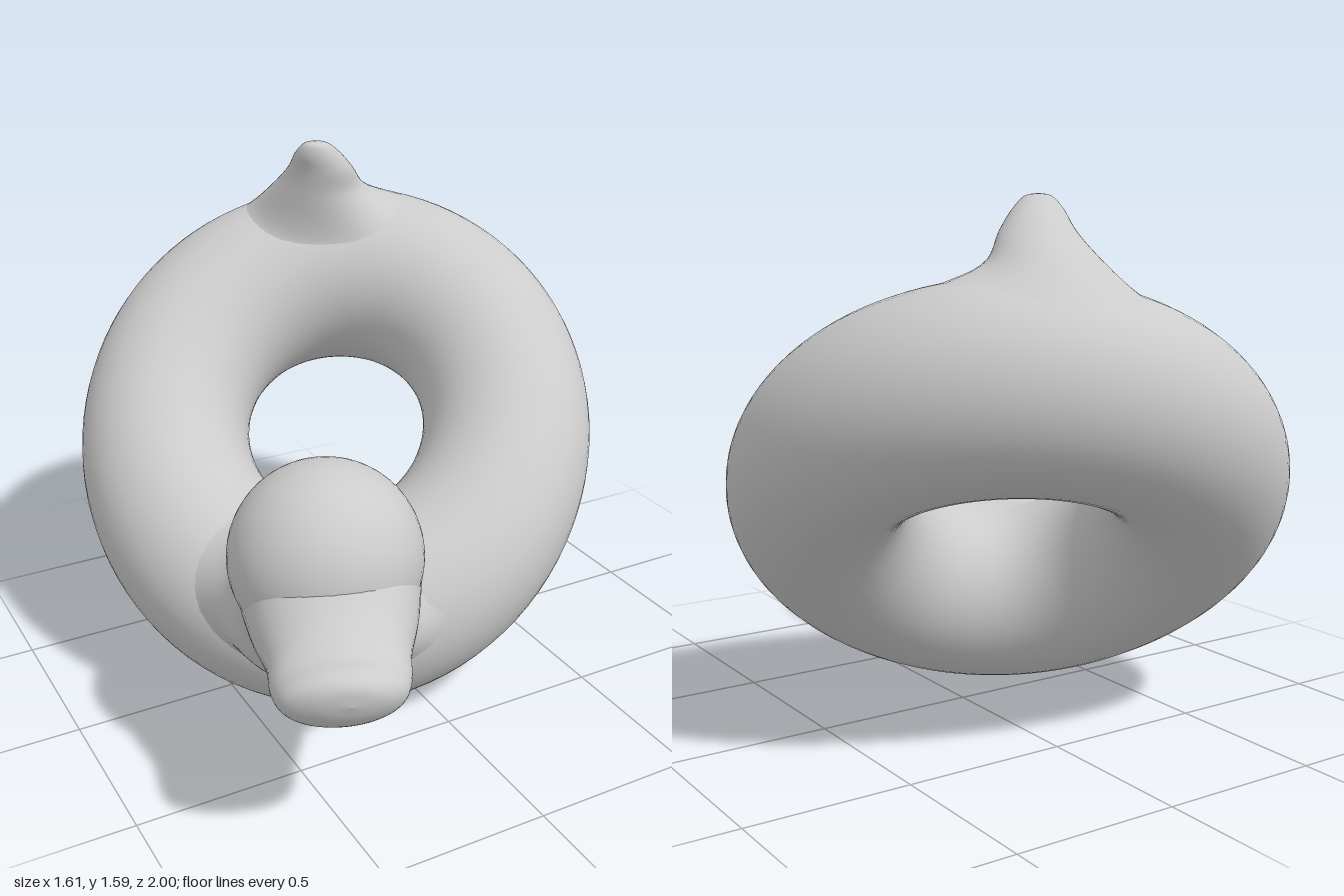
import * as THREE from 'three';

const V = (x, y, z) => new THREE.Vector3(x, y, z);
const UP = V(0, 1, 0);

// Tilted, slightly egg-shaped swim ring: centre, axis, uphill and sideways directions
const CENTRE = V(-0.003, 0.688, -0.23);
const AXIS = V(-0.34, 0.755, 0.56).normalize();
const HILL = UP.clone().projectOnPlane(AXIS).normalize();
const SIDE = AXIS.clone().cross(HILL);
const LONG = 0.605;
const WIDE = 0.555;

const inPlane = (x, y) => V(0, 0, 0).addScaledVector(HILL, x).addScaledVector(SIDE, y);
const core = (a) => inPlane(LONG * Math.cos(a), WIDE * (1 + 0.04 * Math.cos(a)) * Math.sin(a)).add(CENTRE);
// Tube is fuller at the chest and tail than at the flanks
const tube = (a) => 0.27 + 0.022 * Math.cos(a) ** 2;

// Point on the ring's surface next to p, sunk a hair so flared bases merge into it
function ontoRing(p) {
  const q = p.clone().sub(CENTRE);
  const a = Math.atan2(q.dot(SIDE) / WIDE, q.dot(HILL) / LONG);
  const c = core(a);
  return p.clone().sub(c).setLength(tube(a) * 0.993).add(c);
}

// Torus whose vertices are moved onto the egg-shaped ring
function ringGeometry() {
  const geometry = new THREE.TorusGeometry(1, 0.5, 48, 96);
  const { position, normal, uv } = geometry.attributes;
  for (let i = 0; i < position.count; i++) {
    const a = uv.getX(i) * Math.PI * 2;
    const b = uv.getY(i) * Math.PI * 2;
    const n = inPlane(WIDE * Math.cos(a), LONG * Math.sin(a)).normalize()
      .multiplyScalar(Math.cos(b)).addScaledVector(AXIS, Math.sin(b));
    const p = core(a).addScaledVector(n, tube(a));
    position.setXYZ(i, p.x, p.y, p.z);
    normal.setXYZ(i, n.x, n.y, n.z);
  }
  return geometry;
}

// Smooth skin over elliptical rings [centre, halfWidth, halfHeight, hugsRing]
function loft(axis, rings, around = 48, along = 32) {
  const u = Math.abs(axis.y) > 0.99 ? V(1, 0, 0) : UP.clone().cross(axis).normalize();
  const v = axis.clone().cross(u).normalize();
  const positions = [];
  const index = [];
  for (let j = 0; j < around; j++) {
    const t = (j / around) * Math.PI * 2;
    const points = rings.map(([c, w, h, hugs]) => {
      const p = c.clone().addScaledVector(u, w * Math.cos(t)).addScaledVector(v, h * Math.sin(t));
      return hugs ? ontoRing(p) : p;
    });
    const curve = new THREE.CatmullRomCurve3(points);
    for (let i = 0; i <= along; i++) positions.push(...curve.getPoint(i / along).toArray());
  }
  const row = along + 1;
  for (let j = 0; j < around; j++) {
    const next = (j + 1) % around;
    for (let i = 0; i < along; i++) {
      const a = j * row + i;
      const b = next * row + i;
      index.push(a, b, a + 1, b, b + 1, a + 1);
    }
  }
  const geometry = new THREE.BufferGeometry();
  geometry.setAttribute('position', new THREE.Float32BufferAttribute(positions, 3));
  geometry.setIndex(index);
  geometry.computeVertexNormals();
  return geometry;
}

export function createModel() {
  const group = new THREE.Group();
  group.name = 'duckSwimRing';
  const material = new THREE.MeshStandardMaterial({ color: 0xcccccc });
  const add = (name, geometry) => {
    const mesh = new THREE.Mesh(geometry, material);
    mesh.name = name;
    group.add(mesh);
    return mesh;
  };

  // Inflated ring body
  add('ringBody', ringGeometry());

  // Upturned tail, flaring into the high side of the ring
  add('tail', loft(UP, [
    [V(0.19, 1.24, -0.65), 0.36, 0.34, true],
    [V(0.17, 1.28, -0.63), 0.26, 0.26, true],
    [V(0.12, 1.41, -0.575), 0.158, 0.155],
    [V(0.095, 1.49, -0.51), 0.104, 0.104],
    [V(0.065, 1.55, -0.47), 0.07, 0.065],
    [V(0.05, 1.583, -0.45), 0.036, 0.034],
    [V(0.045, 1.59, -0.447), 0, 0],
  ]));

  // Broad neck, flaring from the low side of the ring up and forward into the head
  const foot = V(-0.26, 0.3, 0.12);
  const headCentre = V(-0.415, 0.69, 0.51);
  const neckAxis = headCentre.clone().sub(foot).normalize();
  const upNeck = (d, forward = 0) => foot.clone().addScaledVector(neckAxis, d)
    .add(V(-0.35 * forward, -0.3 * forward, 0.9 * forward));
  add('neck', loft(neckAxis, [
    [upNeck(0.14), 0.46, 0.38, true],
    [upNeck(0.2, 0.02), 0.37, 0.31, true],
    [upNeck(0.29, 0.06), 0.285, 0.265],
    [upNeck(0.38, 0.08), 0.25, 0.245],
    [upNeck(0.5, 0.06), 0.24, 0.235],
  ]));

  // Round head
  add('head', new THREE.SphereGeometry(0.27, 48, 32)).position.copy(headCentre);

  // Broad flattened beak, its underside running back into the neck
  add('beak', loft(V(-0.35, -0.15, 0.93).normalize(), [
    [V(-0.42, 0.6, 0.55), 0.25, 0.28],
    [V(-0.47, 0.575, 0.67), 0.225, 0.215],
    [V(-0.515, 0.54, 0.78), 0.19, 0.145],
    [V(-0.555, 0.525, 0.87), 0.18, 0.105],
    [V(-0.58, 0.53, 0.93), 0.155, 0.09],
    [V(-0.585, 0.54, 0.967), 0.09, 0.052],
    [V(-0.585, 0.54, 0.98), 0, 0],
  ]));

  return group;
}
